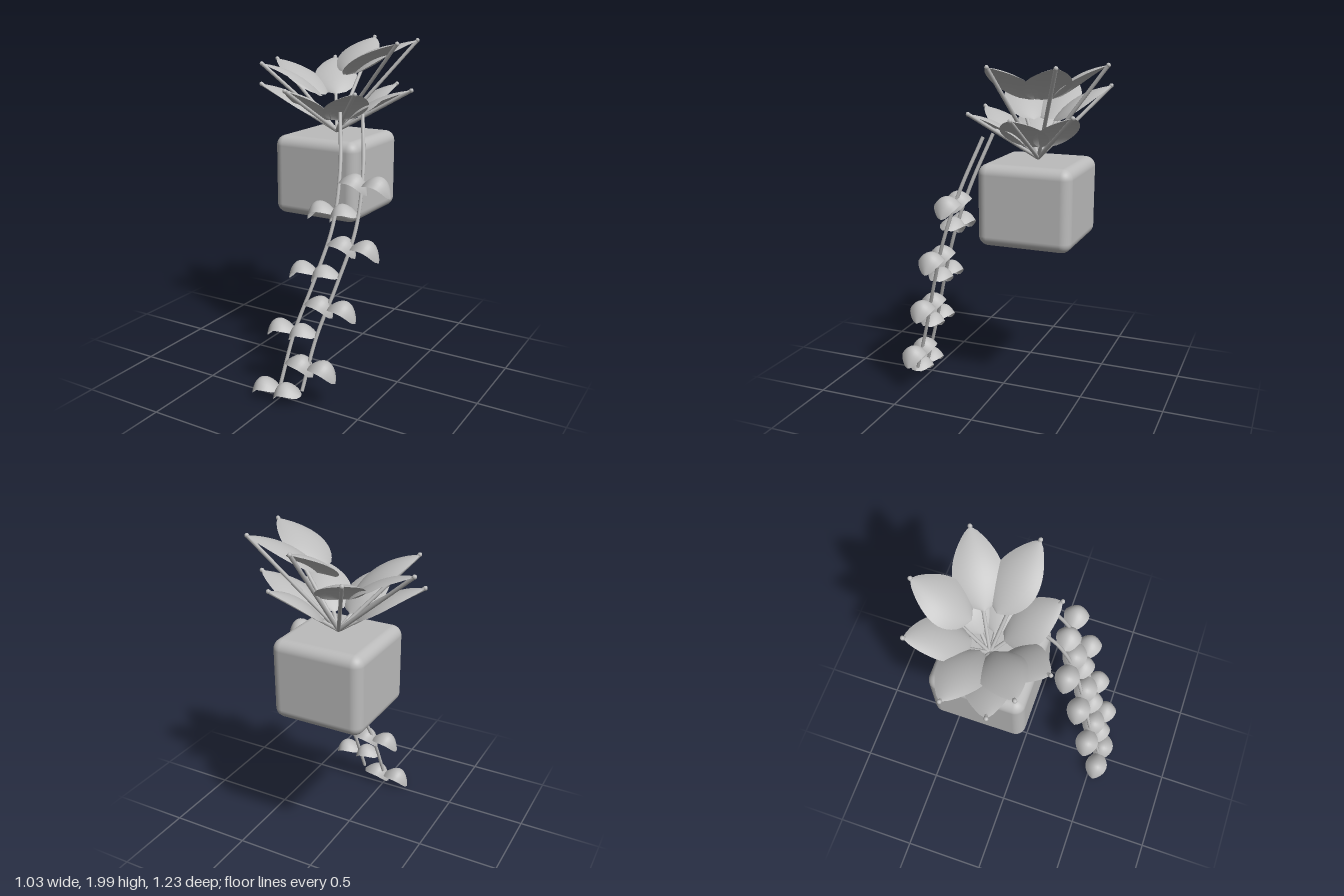
import * as THREE from 'three';
import { RoundedBoxGeometry } from 'three/addons/geometries/RoundedBoxGeometry.js';

const clay = new THREE.MeshStandardMaterial({ color: 0xbcbcbc, side: THREE.DoubleSide });
clay.name = 'plain grey';
const V = (x, y, z) => new THREE.Vector3(x, y, z);

function add(parent, name, geometry) {
  const mesh = new THREE.Mesh(geometry, clay);
  mesh.name = name;
  parent.add(mesh);
  return mesh;
}

// A domed leaf blade from root to tip: arched lengthwise, edges drooping
function leafGeometry(root, tip, { halfWidth, arch, droop, skew, fullness }) {
  const dir = tip.clone().sub(root).normalize();
  const side = V(0, 1, 0).cross(dir).normalize();
  const up = dir.clone().cross(side);
  const geo = new THREE.PlaneGeometry(1, 1, 16, 10);
  const pos = geo.attributes.position;
  for (let i = 0; i < pos.count; i++) {
    const t = pos.getX(i) + 0.5;
    const v = pos.getY(i) * 2;
    const w = Math.pow(Math.max(0, Math.sin(Math.PI * Math.pow(t, skew))), fullness);
    const p = root.clone().lerp(tip, t)
      .addScaledVector(side, v * w * halfWidth)
      .addScaledVector(up, arch * 4 * t * (1 - t) - droop * w * v * v);
    pos.setXYZ(i, p.x, p.y, p.z);
  }
  geo.computeVertexNormals();
  return geo;
}

function stemGeometry(curve, radius, segments) {
  return new THREE.TubeGeometry(curve, segments, radius, 8, false);
}

export function createModel() {
  const model = new THREE.Group();
  model.name = 'hangingPlant';

  // Rounded block pot
  add(model, 'pot', new RoundedBoxGeometry(0.55, 0.475, 0.555, 5, 0.06))
    .position.set(-0.04, 1.2025, -0.2);

  // Rosette: three tiers of leaves, each carried at its tip by a straight stem
  const crown = V(-0.04, 1.45, -0.2);
  const rosette = new THREE.Group();
  rosette.name = 'rosette';
  model.add(rosette);
  const tiers = [
    { y: 1.72, tips: [[-0.16, 0.18], [0.25, 0.11], [0.44, -0.21], [0.22, -0.48], [-0.48, -0.05]] },
    { y: 1.855, tips: [[-0.26, -0.56], [-0.51, -0.27], [-0.39, 0.07]] },
    { y: 1.985, tips: [[0, -0.605], [0.37, -0.43], [0.41, -0.07]] },
  ];
  const bladeShape = { halfWidth: 0.132, arch: 0.04, droop: 0.03, skew: 0.8, fullness: 0.75 };
  for (const { y, tips } of tiers) {
    for (const [x, z] of tips) {
      const tip = V(x, y, z);
      const out = V(x - crown.x, 0, z - crown.z).normalize();
      const root = crown.clone().addScaledVector(out, 0.085).setY(y - 0.195);
      add(rosette, 'rosetteLeaf', leafGeometry(root, tip, bladeShape));
      add(rosette, 'rosetteStem', stemGeometry(new THREE.LineCurve3(crown, tip), 0.011, 1));
      add(rosette, 'stemTip', new THREE.SphereGeometry(0.013, 8, 6)).position.copy(tip);
    }
  }

  // Two trailing vines with leaves alternating sides
  const path = [
    [0.108, 1.6, 0.02], [0.175, 1.3, 0.135], [0.188, 1.0, 0.237],
    [0.127, 0.7, 0.335], [0.05, 0.4, 0.43], [0.01, 0.1, 0.52],
  ];
  const vineShape = { halfWidth: 0.074, arch: 0.09, droop: 0.05, skew: 0.9, fullness: 0.65 };
  for (const shift of [0, 0.145]) {
    const vine = new THREE.Group();
    vine.name = 'vine';
    model.add(vine);
    const curve = new THREE.CatmullRomCurve3(
      path.map(([x, y, z]) => V(x + shift, y, z)), false, 'catmullrom', 0.5);
    add(vine, 'vineStem', stemGeometry(curve, 0.011, 40));
    for (let i = 0; i < 8; i++) {
      const y = 1.235 - 0.1665 * i;
      const root = curve.getPoint(Math.min(1, (1.6 - y) / 1.5));
      root.y = y;
      if (i === 7) root.z += 0.015;
      const reach = i % 2 === 0 ? 0.178 : -0.178;
      const tip = root.clone().add(V(reach, -0.058, 0.005));
      add(vine, 'vineLeaf', leafGeometry(root, tip, vineShape));
    }
  }
  return model;
}
